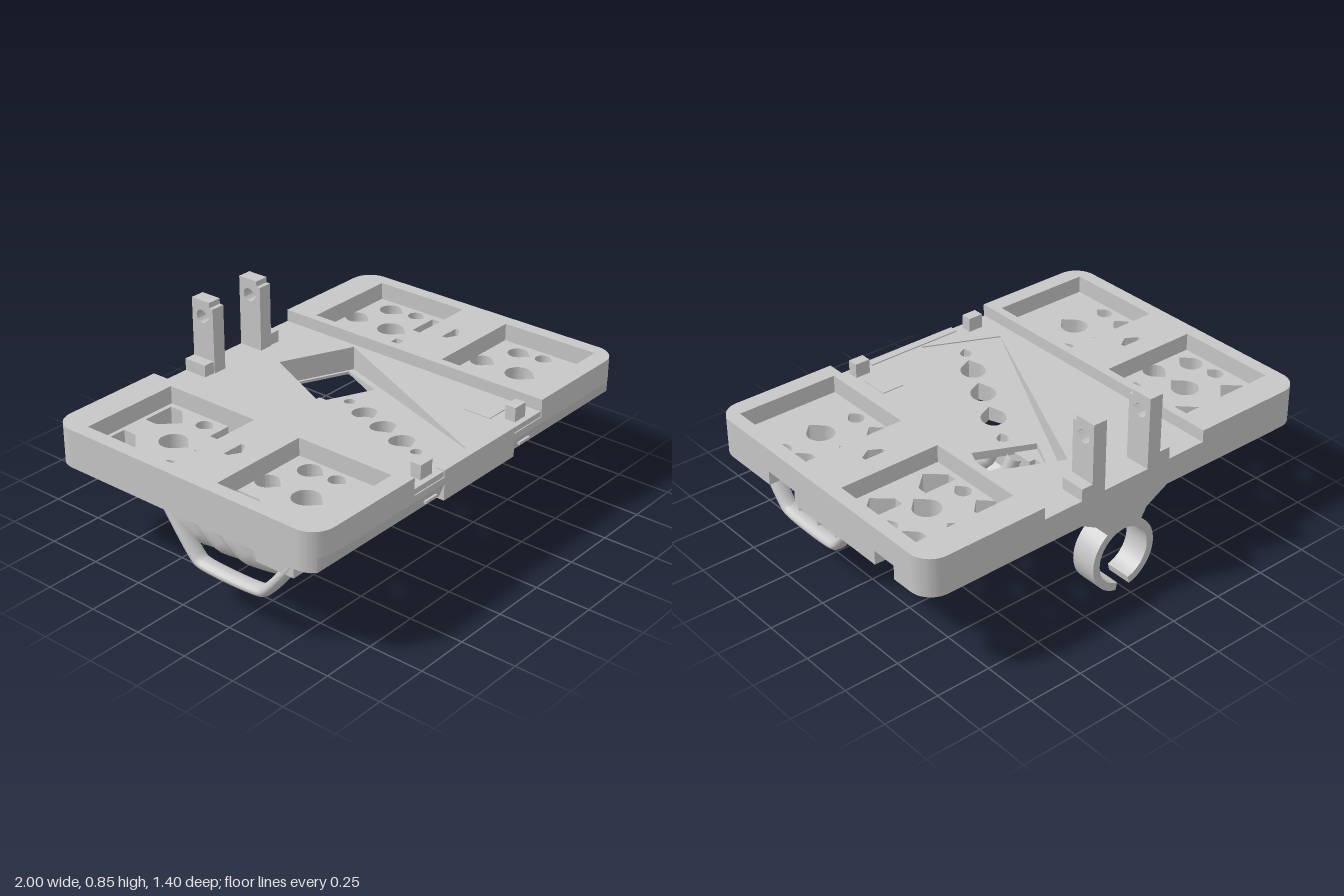
import * as THREE from 'three';
import { toCreasedNormals } from 'three/addons/utils/BufferGeometryUtils.js';

const gray = new THREE.MeshStandardMaterial({ color: 0xc6c6c6 });
gray.name = 'plain gray';

const poly = (pts) => new THREE.Shape(pts.map(([x, y]) => new THREE.Vector2(x, y)));
const rect = (x0, z0, x1, z1) => poly([[x0, z0], [x1, z0], [x1, z1], [x0, z1]]);

// Hole outlines: a round hole with a pointed end, and a square with a pointed end
function drop(x, z, r, dir = Math.PI / 2) {
  const s = new THREE.Shape(), a = dir + Math.PI / 4;
  s.moveTo(x + 1.414 * r * Math.cos(dir), z + 1.414 * r * Math.sin(dir));
  s.lineTo(x + r * Math.cos(a), z + r * Math.sin(a));
  s.absarc(x, z, r, a, dir + 1.75 * Math.PI, false);
  return s;
}
function house(x, z0, z1, w) {
  const h = w / 2, zs = z1 - Math.min(h, (z1 - z0) * 0.6);
  return poly([[x - h, z0], [x + h, z0], [x + h, zs], [x, z1], [x - h, zs]]);
}

// Horizontal slab: outline in x,z between two heights
function slab(shape, holes, y0, y1) {
  shape.holes.push(...holes);
  return new THREE.ExtrudeGeometry(shape, { depth: y1 - y0, bevelEnabled: false, curveSegments: 16 })
    .rotateX(Math.PI / 2).translate(0, y1, 0);
}
// Upright plate: outline in z,y between two x positions
function upright(shape, x0, x1) {
  return new THREE.ExtrudeGeometry(shape, { depth: x1 - x0, bevelEnabled: false, curveSegments: 16 })
    .rotateY(-Math.PI / 2).translate(x1, 0, 0);
}
const block = (x0, x1, y0, y1, z0, z1) =>
  new THREE.BoxGeometry(x1 - x0, y1 - y0, z1 - z0).translate((x0 + x1) / 2, (y0 + y1) / 2, (z0 + z1) / 2);

// Round rod bent through the given points
function rod(pts, r) {
  const curve = new THREE.CatmullRomCurve3(pts.map((p) => new THREE.Vector3(...p)), false, 'catmullrom', 0.2);
  return new THREE.TubeGeometry(curve, 48, r, 14, false);
}

// Open sleeve along z; each station gives z and the height its lower edges reach
function sleeve(stations) {
  const N = 40, M = 2 * N + 2, c = 0.165, R = 0.165, r = 0.13, pos = [], idx = [];
  for (const [z, h] of stations) {
    const a = Math.min(Math.acos((h - c) / R), Math.PI - 0.23);
    for (let k = 0; k < M; k++) {
      const outer = k <= N, i = outer ? k : M - 1 - k, t = -a + (2 * a * i) / N;
      const q = outer ? R : r;
      pos.push(q * Math.sin(t), c + q * Math.cos(t), z);
    }
  }
  const last = (stations.length - 1) * M;
  for (let s = 0; s < last; s += M) {
    for (let k = 0; k < M; k++) {
      const a = s + k, b = s + ((k + 1) % M);
      idx.push(a, b, b + M, a, b + M, a + M);
    }
  }
  for (let i = 0; i < N; i++) {
    const o = i, o1 = i + 1, n = M - 1 - i, n1 = M - 2 - i;
    idx.push(o, n, n1, o, n1, o1);
    idx.push(last + o, last + n1, last + n, last + o, last + o1, last + n1);
  }
  const g = new THREE.BufferGeometry();
  g.setAttribute('position', new THREE.Float32BufferAttribute(pos, 3));
  g.setIndex(idx);
  return toCreasedNormals(g, 0.6);
}

// Rounded outline of the whole plate, with the given notches in its +x edge
function plateOutline(notches) {
  const s = new THREE.Shape();
  s.moveTo(-0.9, -0.7);
  s.lineTo(0.9, -0.7);
  s.absarc(0.9, -0.6, 0.1, -Math.PI / 2, 0, false);
  for (const [z0, z1] of notches) {
    s.lineTo(1, z0);
    s.lineTo(0.95, z0);
    s.lineTo(0.95, z1);
    s.lineTo(1, z1);
  }
  s.absarc(0.9, 0.6, 0.1, 0, Math.PI / 2, false);
  s.absarc(-0.9, 0.6, 0.1, Math.PI / 2, Math.PI, false);
  s.absarc(-0.9, -0.6, 0.1, Math.PI, Math.PI * 1.5, false);
  return s;
}

export function createModel() {
  const model = new THREE.Group();
  const add = (name, geo) => {
    const m = new THREE.Mesh(geo, gray);
    m.name = name;
    model.add(m);
  };

  // Slanted slot in the middle, given in its own a (across) and b (along) axes
  const turn = -0.433, cx = 0.025, cz = 0.105;
  const slot = (a, b) => [
    cx + a * Math.cos(turn) + b * Math.sin(turn), cz - a * Math.sin(turn) + b * Math.cos(turn)];
  const slotHole = () => poly([slot(-0.18, -0.52), slot(0.18, -0.52), slot(0.18, 0.52), slot(-0.18, 0.52)]);

  // Holes through the tray floors
  const floorHoles = [slotHole()];
  for (const s of [-1, 1]) {
    for (const z of [-0.32, 0.39]) {
      floorHoles.push(drop(s * 0.885, z, 0.035), drop(s * 0.7, z, 0.06), drop(s * 0.52, z, 0.035));
    }
    floorHoles.push(drop(s * 0.7, 0.19, 0.05), house(s * 0.7, 0.01, 0.06, 0.1));
  }
  floorHoles.push(
    house(-0.835, -0.54, -0.4, 0.15), house(-0.565, -0.54, -0.4, 0.15),
    drop(-0.865, -0.19, 0.05), drop(-0.7, -0.13, 0.05, -Math.PI / 2), house(-0.52, -0.235, -0.1, 0.11),
    house(0.52, -0.55, -0.4, 0.11), drop(0.7, -0.52, 0.05), drop(0.865, -0.45, 0.05),
    house(0.565, -0.235, -0.12, 0.15), house(0.83, -0.235, -0.12, 0.15),
    house(-0.87, 0.155, 0.31, 0.09), drop(-0.53, 0.26, 0.05),
    house(0.52, 0.16, 0.3, 0.11), drop(0.865, 0.27, 0.045));

  // Base: notched lower layer with a softened front edge, and the tray floor layer
  const lower = slab(plateOutline([[-0.5, -0.38], [0.15, 0.33]]), floorHoles, 0.41, 0.475);
  const p = lower.attributes.position;
  for (let i = 0; i < p.count; i++) {
    if (p.getY(i) < 0.42) p.setZ(i, Math.min(p.getZ(i), 0.675));
  }
  lower.computeVertexNormals();
  add('base', toCreasedNormals(lower, 0.5));
  add('trayFloor', toCreasedNormals(slab(plateOutline([]), floorHoles, 0.475, 0.505), 0.5));

  // Raised tray frames on both sides
  for (const s of [-1, 1]) {
    const frame = new THREE.Shape();
    frame.moveTo(s * 0.425, -0.7);
    frame.lineTo(s * 0.9, -0.7);
    frame.absarc(s * 0.9, -0.6, 0.1, -Math.PI / 2, s > 0 ? 0 : -Math.PI, s < 0);
    frame.absarc(s * 0.9, 0.6, 0.1, s > 0 ? 0 : Math.PI, Math.PI / 2, s < 0);
    frame.lineTo(s * 0.425, 0.7);
    const wells = [[-0.56, -0.09], [0.15, 0.62]].map(([z0, z1]) =>
      rect(s * 0.701 - 0.236, z0, s * 0.701 + 0.236, z1));
    add('trayFrame', toCreasedNormals(slab(frame, [...wells, house(s * 0.7, 0.01, 0.06, 0.1)], 0.505, 0.585), 0.5));
  }

  // Middle deck and the wedge that forms the sloping floor of its slot
  add('middleDeck', slab(rect(-0.425, -0.7, 0.425, 0.695), [slotHole()], 0.505, 0.53));
  const ramp = slab(rect(-0.18, -0.52, 0.18, 0.52), [
    rect(-0.13, -0.505, 0.15, -0.25), drop(0, -0.185, 0.025), drop(0, -0.04, 0.055),
    drop(0, 0.134, 0.055), drop(0, 0.306, 0.055), drop(0, 0.434, 0.025)], 0, 0.47);
  const q = ramp.attributes.position;
  for (let i = 0; i < q.count; i++) q.setY(i, q.getY(i) > 0.2 ? 0.473 + 0.1 * q.getZ(i) : 0.41);
  ramp.computeVertexNormals();
  ramp.rotateY(turn).translate(cx, 0, cz);
  add('slotFloor', toCreasedNormals(ramp, 0.5));
  add('frontBlock', block(-0.235, 0.235, 0.4, 0.535, 0.66, 0.7));
  add('deckPad', block(0.235, 0.34, 0.52, 0.534, 0.44, 0.575));

  for (const s of [-1, 1]) {
    // Front catches
    add('catch', block(s * 0.313 - 0.036, s * 0.313 + 0.036, 0.5, 0.595, 0.62, 0.67));
    add('catchFoot', block(s * 0.313 - 0.036, s * 0.313 + 0.036, 0.435, 0.447, 0.65, 0.7));
    // Rear posts with a pin hole
    const post = poly([[-0.7, 0.5], [-0.58, 0.5], [-0.58, 0.83], [-0.6, 0.83], [-0.6, 0.855], [-0.7, 0.855]]);
    post.holes.push(drop(-0.645, 0.78, 0.03, 0));
    const x = s * 0.148;
    add('post', toCreasedNormals(upright(post, x - 0.033, x + 0.033), 0.5));
    add('postFoot', block(s * 0.177 - 0.058, s * 0.177 + 0.058, 0.5, 0.585, -0.7, -0.585));
  }

  // Clamp beneath: flared root, narrow neck, pillars, scooped sleeve and rear ring
  const root = poly([[-0.09, 0.3], [0.09, 0.3], [0.12, 0.35], [0.23, 0.41], [-0.23, 0.41], [-0.12, 0.35]]);
  add('clampRoot', new THREE.ExtrudeGeometry(root, { depth: 0.24, bevelEnabled: false }).translate(0, 0, -0.7));
  add('clampNeck', block(-0.07, 0.07, 0.268, 0.42, -0.59, -0.23));
  add('clampPillar', block(-0.01, 0.1, 0.31, 0.42, -0.23, 0.07));
  add('clampPillar', block(-0.15, -0.05, 0.31, 0.42, -0.12, 0.04));
  add('clampSleeve', sleeve([[0.09, 0], [-0.03, 0], [-0.08, 0.03], [-0.13, 0.08], [-0.2, 0.16],
    [-0.25, 0.22], [-0.28, 0.26], [-0.33, 0.3]]));
  add('clampRing', sleeve([[-0.58, 0], [-0.7, 0]]));

  // Bent rods under each side
  for (const s of [-1, 1]) {
    for (const z of [0.36, 0.23, 0.1]) {
      const end = s > 0 ? [[0.7, 0.21, z], [0.87, 0.21, z]]
        : [[-0.76, 0.21, z], [-0.9, 0.29, z - 0.09], [-0.93, 0.36, z - 0.15], [-0.93, 0.42, z - 0.2]];
      add('rod', rod([[s * 0.12, 0.42, z - 0.26], [s * 0.15, 0.34, z - 0.24],
        [s * 0.3, 0.315, z - 0.19], [s * 0.37, 0.21, z], ...end], 0.033));
    }
  }
  // Flattened rails that carry the outer rod ends
  for (const x of [-0.945, 0.872]) {
    add('rail', rod([[0, 0.43, 0.58], [0, 0.207, 0.39], [0, 0.207, 0.06], [0, 0.43, -0.12]], 0.024)
      .scale(1.55, 1, 1).translate(x, 0, 0));
  }
  add('strut', rod([[0.71, 0.21, 0.25], [0.73, 0.31, 0.15], [0.745, 0.42, 0.05]], 0.035));
  add('rodSocket', block(-0.98, -0.88, 0.35, 0.42, 0.38, 0.57));

  // Narrow ribs below the tray floors
  for (const s of [-1, 1]) {
    for (const z of [-0.44, 0.28]) {
      add('rib', block(s * 0.7 - 0.22, s * 0.7 + 0.22, 0.395, 0.415, z - 0.012, z + 0.012));
    }
  }
  return model;
}
